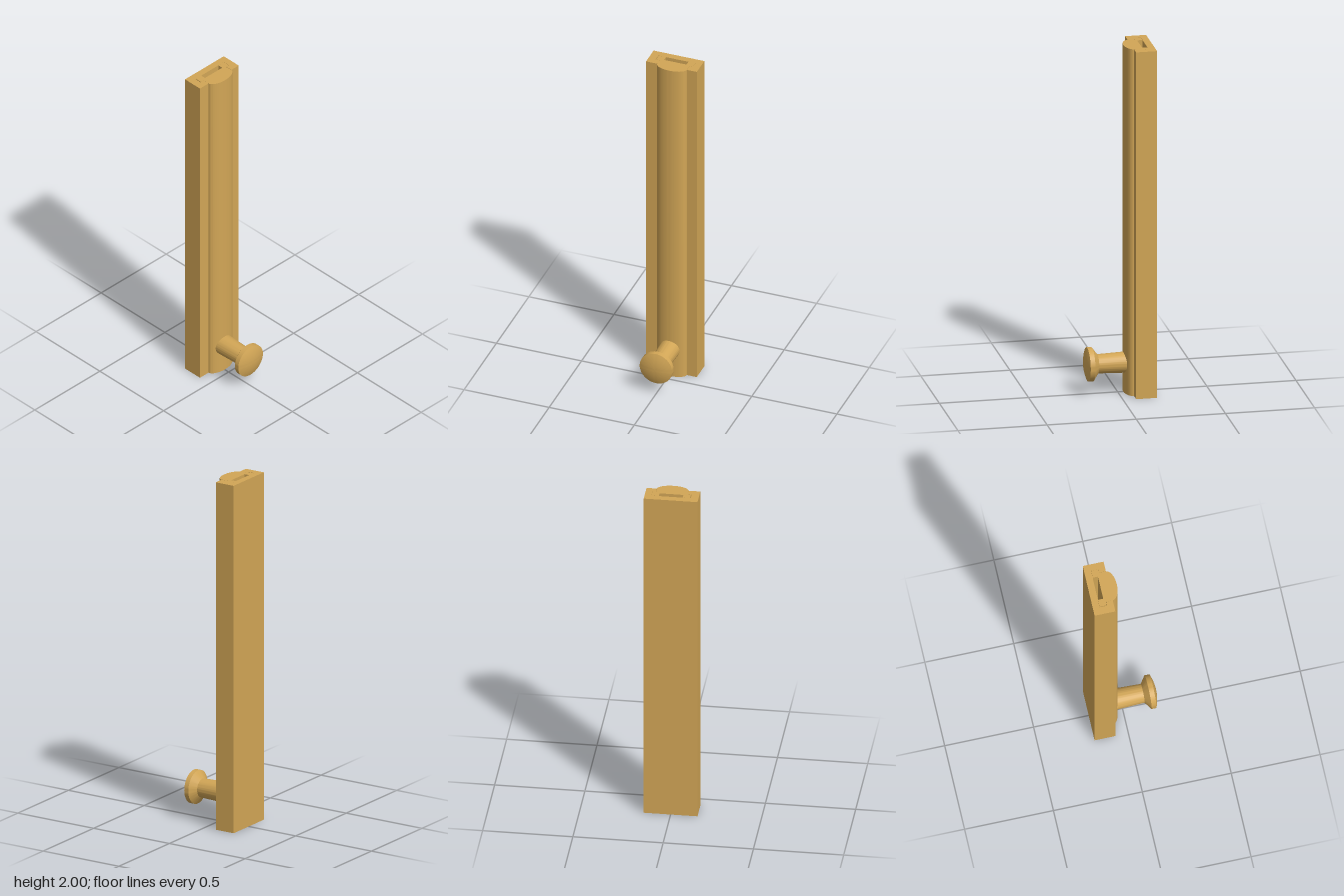
import * as THREE from 'three';
import { toCreasedNormals } from 'three/addons/utils/BufferGeometryUtils.js';

const HEIGHT = 2;
const material = new THREE.MeshStandardMaterial({ color: 0xd2a656 });

function addMesh(group, name, geometry) {
  const mesh = new THREE.Mesh(toCreasedNormals(geometry, 0.45), material);
  mesh.name = name;
  group.add(mesh);
  return mesh;
}

// Extrudes a plan outline (x, -z) upward along y
function extrudeUp(shape) {
  return new THREE.ExtrudeGeometry(shape, { depth: HEIGHT, bevelEnabled: false, curveSegments: 32 })
    .rotateX(-Math.PI / 2);
}

const points = (list) => list.map(([x, z]) => new THREE.Vector2(x, -z));

export function createModel() {
  const group = new THREE.Group();
  group.name = 'slidingBolt';

  // Outer rail: a channel with lips that retain the slider
  addMesh(group, 'rail', extrudeUp(new THREE.Shape(points([
    [-0.19, 0.149], [-0.073, 0.149], [-0.073, 0.083], [-0.11, 0.083],
    [-0.11, 0.107], [-0.152, 0.107], [-0.152, -0.112], [-0.11, -0.112],
    [-0.11, -0.092], [-0.073, -0.092], [-0.073, -0.149], [-0.19, -0.149],
  ]))));

  // Slider: flanged and hollowed at the back, rounded at the front
  const mid = -0.004;
  const half = 0.0865;
  const slider = new THREE.Shape(points([
    [-0.073, mid - half], [-0.111, mid - half], [-0.111, mid - 0.107],
    [-0.1515, mid - 0.107], [-0.1515, mid - 0.066], [-0.122, mid - 0.066],
    [-0.122, mid + 0.066], [-0.1515, mid + 0.066], [-0.1515, mid + 0.107],
    [-0.111, mid + 0.107], [-0.111, mid + half], [-0.073, mid + half],
  ]));
  slider.absellipse(-0.073, -mid, 0.042, half, -Math.PI / 2, Math.PI / 2, false, 0);
  addMesh(group, 'slider', extrudeUp(slider));

  // Knob: tapered stem, flared head and shallow domed face, turned around x
  const profile = [[0, -0.08], [0.06, -0.08], [0.053, 0.114], [0.095, 0.144], [0.095, 0.171]];
  const domeRadius = (0.095 ** 2 + 0.019 ** 2) / (2 * 0.019);
  const domeAngle = Math.asin(0.095 / domeRadius);
  for (let i = 7; i >= 0; i--) {
    const a = domeAngle * i / 8;
    profile.push([domeRadius * Math.sin(a), 0.19 - domeRadius * (1 - Math.cos(a))]);
  }
  const knob = addMesh(group, 'knob', new THREE.LatheGeometry(
    profile.map(([r, x]) => new THREE.Vector2(r, x)), 64).rotateZ(-Math.PI / 2));
  knob.position.set(0, 0.17, -0.0015);

  return group;
}
